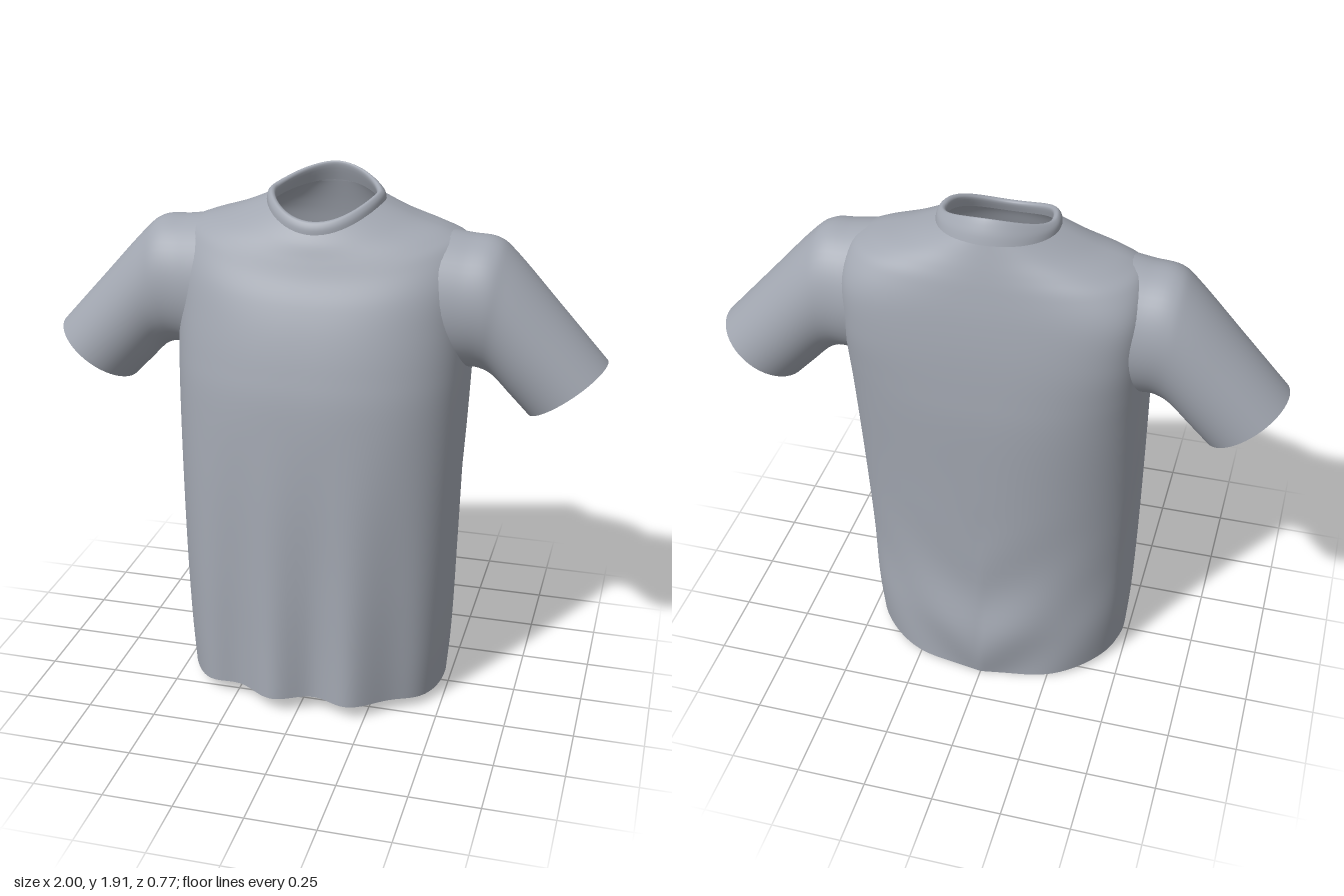
import * as THREE from 'three';

// Uniform Catmull-Rom blend of profile rows (column by column)
function sampleRows(rows, u) {
  const k = Math.min(Math.floor(u), rows.length - 2), f = u - k;
  const at = (i) => rows[Math.max(0, Math.min(rows.length - 1, i))];
  const [p, a, b, n] = [at(k - 1), at(k), at(k + 1), at(k + 2)];
  return a.map((v, c) => {
    const m0 = (b[c] - p[c]) / 2, m1 = (n[c] - v) / 2, d = b[c] - v;
    return v + f * (m0 + f * (3 * d - 2 * m0 - m1 + f * (m0 + m1 - 2 * d)));
  });
}

// Closed-ring surface through the rows; keep() may cut an opening
function loft(rows, steps, segments, point, keep = () => true) {
  const pos = [], index = [], rings = (rows.length - 1) * steps;
  for (let i = 0; i <= rings; i++) {
    const row = sampleRows(rows, i / steps);
    for (let j = 0; j < segments; j++) pos.push(...point(row, (j / segments) * Math.PI * 2));
  }
  for (let i = 0; i < rings; i++) {
    for (let j = 0; j < segments; j++) {
      const a = i * segments + j, b = i * segments + ((j + 1) % segments);
      const c = a + segments, d = b + segments;
      const mid = [0, 1, 2].map((k) => (pos[a * 3 + k] + pos[d * 3 + k]) / 2);
      if (keep(...mid)) index.push(a, c, b, b, c, d);
    }
  }
  const geo = new THREE.BufferGeometry();
  geo.setAttribute('position', new THREE.Float32BufferAttribute(pos, 3));
  geo.setIndex(index);
  geo.computeVertexNormals();
  return geo;
}

// Body ring: side x,y,z | front y,z | back y,z | front and back squareness
function bodyPoint([sx, sy, sz, fy, fz, by, bz, nf, nb], t) {
  const c = Math.cos(t), s = Math.sin(t), front = s >= 0, e = 2 / (front ? nf : nb);
  const x = sx * Math.sign(c) * Math.abs(c) ** e;
  const y = sy + ((front ? fy : by) - sy) * s * s;
  const z = sz + ((front ? fz : bz) - sz) * Math.abs(s) ** e;
  return [x, y, z];
}

// Body ring with soft hanging folds that fade upwards
function torsoPoint(row, t) {
  let [x, y, z] = bodyPoint(row, t);
  const s = Math.sin(t), fade = Math.max(0, 1 - y / 1.1) ** 1.3;
  if (s > 0) {
    z -= 0.028 * fade * s * Math.cos(((x - 0.055) * Math.PI * 2) / 0.29);
  } else {
    const low = Math.max(0, 1 - y / 0.8);
    z += 0.009 * low * s * s * Math.sin(Math.abs(x) * 16 - y * 14);
  }
  // hanging crease down each side
  const side = Math.exp(-(((z + 0.09) / 0.04) ** 2)) * Math.exp(-(((y - 0.6) / 0.4) ** 2));
  x -= Math.sign(x) * 0.02 * side * Math.abs(Math.cos(t));
  return [x, y, z];
}

const TORSO = [
  [0.484, 0.03, -0.02, 0.06, 0.357, 0.0, -0.37, 2.3, 2.05],
  [0.499, 0.22, -0.03, 0.25, 0.354, 0.2, -0.38, 2.35, 2.0],
  [0.51, 0.5, -0.04, 0.5, 0.352, 0.45, -0.358, 2.4, 2.0],
  [0.518, 0.85, -0.05, 0.85, 0.346, 0.85, -0.368, 2.4, 2.2],
  [0.523, 1.15, -0.06, 1.15, 0.328, 1.15, -0.376, 2.4, 2.6],
  [0.525, 1.3, -0.07, 1.3, 0.303, 1.3, -0.372, 2.4, 3.0],
  [0.525, 1.45, -0.08, 1.42, 0.272, 1.45, -0.362, 2.35, 3.6],
  [0.525, 1.6, -0.08, 1.52, 0.235, 1.58, -0.345, 2.2, 3.8],
  [0.5, 1.7, -0.08, 1.6, 0.195, 1.68, -0.325, 2.0, 2.8],
  [0.44, 1.738, -0.08, 1.66, 0.17, 1.74, -0.31, 1.95, 2.2],
  [0.32, 1.775, -0.085, 1.71, 0.15, 1.79, -0.295, 1.95, 2.0],
  [0.2, 1.825, -0.085, 1.745, 0.13, 1.835, -0.28, 2.0, 2.0],
];

const COLLAR = [
  [0.208, 1.815, -0.085, 1.738, 0.132, 1.83, -0.281, 2, 2],
  [0.204, 1.84, -0.085, 1.762, 0.13, 1.87, -0.268, 2, 1.9],
  [0.19, 1.853, -0.08, 1.782, 0.118, 1.91, -0.245, 2, 1.8],
  [0.176, 1.842, -0.08, 1.776, 0.102, 1.897, -0.238, 2, 1.8],
  [0.184, 1.805, -0.08, 1.742, 0.112, 1.84, -0.258, 2, 1.9],
];

// Sleeve ring: top x,y | bottom x,y | front z | back z | inset of front and back
const SLEEVE = [
  [0.43, 1.738, 0.5, 1.25, 0.125, -0.28, 0.04],
  [0.51, 1.727, 0.525, 1.257, 0.115, -0.273, 0.02],
  [0.6, 1.717, 0.56, 1.254, 0.106, -0.267, 0],
  [0.67, 1.662, 0.608, 1.23, 0.096, -0.264, 0],
  [0.83, 1.487, 0.67, 1.167, 0.09, -0.26, 0],
  [1.0, 1.3, 0.735, 1.1, 0.085, -0.256, 0],
];

export function createModel() {
  const group = new THREE.Group();
  group.name = 'shirt';
  const fabric = new THREE.MeshStandardMaterial({ color: 0xa2a7b1, side: THREE.DoubleSide });
  fabric.name = 'greyFabric';
  const add = (name, geo) => {
    const mesh = new THREE.Mesh(geo, fabric);
    mesh.name = name;
    group.add(mesh);
  };

  // Torso with open armholes
  const outsideArmhole = (x, y, z) =>
    Math.abs(x) < 0.42 || ((y - 1.49) / 0.21) ** 2 + ((z + 0.08) / 0.16) ** 2 > 1;
  add('torso', loft(TORSO, 6, 192, torsoPoint, outsideArmhole));

  // Ribbed neck band, rolled over its rim
  add('collar', loft(COLLAR, 4, 64, bodyPoint));

  // Mirrored sleeves, flaring into the shoulder
  for (const side of [1, -1]) {
    const sleevePoint = ([tx, ty, bx, by, fz, bz, inset], t) => {
      const c = Math.cos(t), s = -side * Math.sin(t);
      return [
        side * ((tx + bx) / 2 + (c * (tx - bx)) / 2 - inset * s * s),
        (ty + by) / 2 + (c * (ty - by)) / 2,
        (fz + bz) / 2 + (s * (fz - bz)) / 2,
      ];
    };
    add(side > 0 ? 'leftSleeve' : 'rightSleeve', loft(SLEEVE, 6, 48, sleevePoint));
  }
  return group;
}
